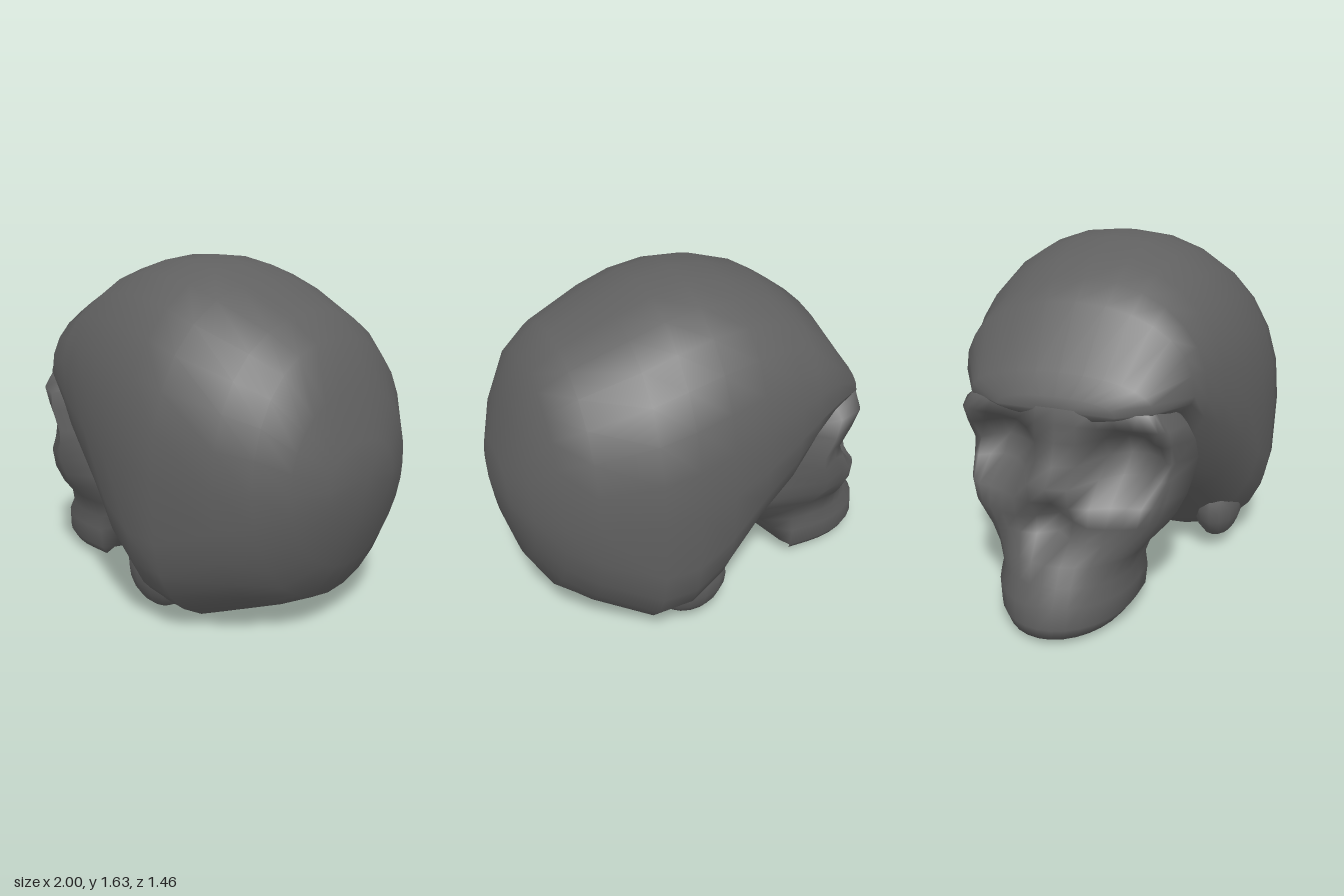
import * as THREE from 'three';

const material = new THREE.MeshStandardMaterial({ color: 0x606060, side: THREE.DoubleSide });

// Skin closed rings of equal length, closing each end with a centre point.
function loft(rings, startPoint, endPoint) {
  const n = rings[0].length, pts = rings.flat();
  const index = [];
  const first = pts.push(startPoint) - 1, last = pts.push(endPoint) - 1;
  for (let j = 0; j < n; j++) {
    const k = (j + 1) % n, e = (rings.length - 1) * n;
    index.push(first, j, k, e + j, last, e + k);
    for (let i = 0; i < rings.length - 1; i++) {
      const a = i * n + j, b = i * n + k;
      index.push(a, a + n, b, b, a + n, b + n);
    }
  }
  const g = new THREE.BufferGeometry();
  g.setAttribute('position', new THREE.Float32BufferAttribute(pts.flat(), 3));
  g.setIndex(index);
  g.computeVertexNormals();
  return g;
}

function add(group, name, geometry) {
  const mesh = new THREE.Mesh(geometry, material);
  mesh.name = name;
  group.add(mesh);
  return mesh;
}

// Braincase sections: x, top, bottom, half width, height of the widest point
const CRANIUM = [
  [-0.765, 1.06, 0.96, 0.27, 1.0],
  [-0.71, 1.15, 0.93, 0.42, 1.02],
  [-0.53, 1.41, 0.84, 0.54, 1.05],
  [-0.42, 1.49, 0.56, 0.57, 1.0],
  [-0.3, 1.56, 0.38, 0.62, 0.96],
  [-0.1, 1.62, 0.31, 0.68, 0.88],
  [0.08, 1.63, 0.13, 0.715, 0.82],
  [0.25, 1.6, 0.03, 0.73, 0.78],
  [0.41, 1.54, 0, 0.715, 0.76],
  [0.67, 1.42, 0.09, 0.615, 0.74],
  [0.8, 1.32, 0.15, 0.51, 0.73],
  [0.9, 1.11, 0.32, 0.39, 0.72],
  [0.965, 0.9, 0.54, 0.22, 0.72]
];

// Oval ring, pinched below the temples and squarer under the back
function craniumRing([x, top, bottom, w, mid]) {
  const square = 1.7 + 1.6 * Math.exp(-(((x - 0.3) / 0.4) ** 2));
  const ring = [];
  for (let j = 0; j < 28; j++) {
    const t = (j / 28) * Math.PI * 2, c = Math.cos(t), s = Math.sin(t);
    const p = 2 / (s < 0 ? square : 2.2);
    const h = s < 0 ? mid - bottom : top - mid;
    ring.push([x, mid + h * Math.sign(s) * Math.abs(s) ** p, w * Math.sign(c) * Math.abs(c) ** p]);
  }
  return ring;
}

// Face levels: y, front x, outer rim x, half width, back x
const FACE = [
  [1.08, -0.73, -0.64, 0.36, -0.3],
  [1.01, -0.77, -0.69, 0.43, -0.3],
  [0.94, -0.775, -0.69, 0.48, -0.3],
  [0.86, -0.785, -0.65, 0.48, -0.3],
  [0.76, -0.82, -0.6, 0.48, -0.28],
  [0.69, -0.89, -0.61, 0.47, -0.26],
  [0.6, -0.86, -0.65, 0.46, -0.24],
  [0.51, -0.845, -0.66, 0.44, -0.22],
  [0.43, -0.83, -0.63, 0.41, -0.2],
  [0.34, -0.91, -0.59, 0.34, -0.2],
  [0.25, -0.94, -0.59, 0.31, -0.26],
  [0.18, -0.99, -0.59, 0.32, -0.33],
  [0.08, -1, -0.59, 0.31, -0.38],
  [0.03, -0.99, -0.61, 0.27, -0.48]
];

const hollow = (u, v) => Math.exp(-((u * u + v * v) ** 2));

// Quarter ellipse from midline to rim with eye and nose hollows, then cheek and back
function faceRing([y, front, rim, w, back]) {
  const half = [];
  for (let k = 0; k <= 8; k++) {
    const a = (k / 8) * Math.PI / 2, z = w * Math.sin(a);
    const eye = 0.24 * hollow((y - 0.76) / 0.14, (z - 0.28) / 0.16);
    const nose = 0.12 * hollow((y - 0.5) / 0.09, z / 0.09);
    half.push([rim + (front - rim) * Math.cos(a) + eye + nose, y, z]);
  }
  const { smoothstep } = THREE.MathUtils;
  const flare = 0.07 * smoothstep(y, 0.3, 0.7) * (1 - smoothstep(y, 0.85, 1.08));
  half.push([rim + 0.12, y, w + flare], [back - 0.06, y, w * 0.8], [back, y, 0]);
  const mirrored = half.slice(1, -1).reverse().map(([px, py, pz]) => [px, py, -pz]);
  return [...half, ...mirrored];
}

export function createModel() {
  const skull = new THREE.Group();
  skull.name = 'skull';

  // Rounded braincase
  add(skull, 'cranium', loft(CRANIUM.map(craniumRing), [-0.77, 1.0, 0], [1, 0.75, 0]));

  // Brow, eye sockets, nose, cheekbones and upper jaw with a shallow palate
  add(skull, 'face', loft(FACE.map(faceRing), [-0.55, 1.1, 0], [-0.65, 0.1, 0]));

  // Bony bumps behind the jaw
  for (const side of [1, -1]) {
    const bump = add(skull, side > 0 ? 'leftMastoid' : 'rightMastoid', new THREE.SphereGeometry(1, 14, 10));
    bump.scale.set(0.19, 0.19, 0.12);
    bump.position.set(0.2, 0.24, side * 0.48);
  }
  return skull;
}
